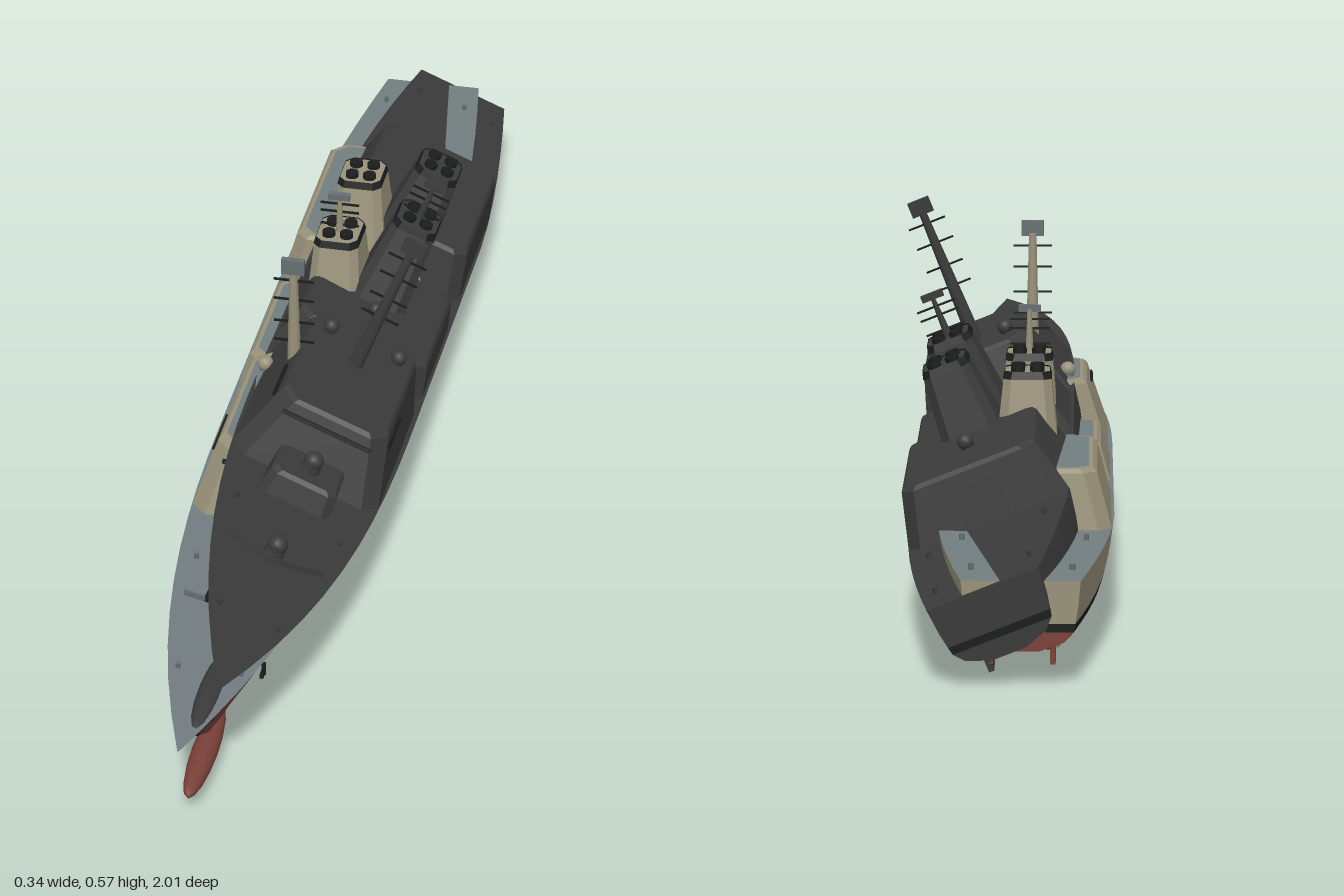
import * as THREE from 'three';
import { toCreasedNormals } from 'three/addons/utils/BufferGeometryUtils.js';

const mat = (name, color) => {
  const m = new THREE.MeshStandardMaterial({ color, side: THREE.DoubleSide });
  m.name = name;
  return m;
};

// Skin through horizontal rings (anticlockwise from above), bottom to top
function loft(rings, bottom = false, top = false) {
  const pos = [];
  const quad = (a, b, c, d) => pos.push(...a, ...b, ...c, ...a, ...c, ...d);
  const n = rings[0].length;
  for (let k = 0; k + 1 < rings.length; k++)
    for (let i = 0; i < n; i++) {
      const j = (i + 1) % n;
      quad(rings[k][i], rings[k][j], rings[k + 1][j], rings[k + 1][i]);
    }
  const cap = (r, up) => {
    for (let i = 0; i < n / 2 - 1; i++) {
      const q = [r[i], r[i + 1], r[n - 2 - i], r[n - 1 - i]];
      quad(...(up ? q : q.reverse()));
    }
  };
  if (bottom) cap(rings[0], false);
  if (top) cap(rings[rings.length - 1], true);
  const g = new THREE.BufferGeometry();
  g.setAttribute('position', new THREE.Float32BufferAttribute(pos, 3));
  return toCreasedNormals(g, 0.4);
}

// Hull levels: height, half width, stem position, bow rise, bow fullness, stern rise
const LEVELS = [
  [0, 0.042, 0.78, 0.025, 1.6, 0.04],
  [0.025, 0.098, 0.83, 0.03, 1.7, 0.028],
  [0.06, 0.119, 0.885, 0.033, 1.8, 0.008],
  [0.074, 0.123, 0.9, 0.031, 1.9, 0.006],
  [0.1, 0.129, 0.935, 0.025, 2.2, 0.002],
  [0.142, 0.135, 1.0, 0.013, 2.6, 0],
];

function hullPoint([y, w, end, rise, power, sternRise], z) {
  const bow = Math.max(0, (z - 0.1) / (end - 0.1));
  const stern = Math.max(0, (-0.5 - z) / 0.5);
  const half = w * (1 - bow ** power) * (1 - 0.37 * stern ** 1.6);
  return [Math.max(half, 0.001), y + rise * bow ** 2 + sternRise * stern ** 2, z];
}

function hullRing(level) {
  const port = [];
  for (let i = 0; i <= 24; i++) port.push(hullPoint(level, -1 + (level[2] + 1) * i / 24));
  return [...port.map(([x, y, z]) => [-x, y, z]), ...port.reverse()];
}

// Rectangle with cut corners
function houseRing(y, w, z0, z1, c) {
  return [[-w + c, y, z0], [-w, y, z0 + c], [-w, y, z1 - c], [-w + c, y, z1],
    [w - c, y, z1], [w, y, z1 - c], [w, y, z0 + c], [w - c, y, z0]];
}

function buildShip(name, p) {
  const ship = new THREE.Group();
  ship.name = name;
  const add = (part, geo, material, x = 0, y = 0, z = 0) => {
    const m = new THREE.Mesh(geo, material);
    m.name = part;
    m.position.set(x, y, z);
    ship.add(m);
    return m;
  };
  const box = (part, w, h, d, material, x, y, z) =>
    add(part, new THREE.BoxGeometry(w, h, d), material, x, y, z);

  // Hull in painted bands
  const rings = LEVELS.map(hullRing);
  add('lowerHull', loft(rings.slice(0, 3), true), p.bottom);
  add('waterlineStripe', loft(rings.slice(2, 4)), p.stripe);
  add('upperHull', loft(rings.slice(3, 6)), p.side);
  add('deck', loft([rings[5]], false, true), p.deck);
  const bulb = add('sonarDome', new THREE.SphereGeometry(1, 16, 12), p.bottom, 0, 0.028, 0.84);
  bulb.scale.set(0.02, 0.018, 0.112);

  // Deckhouses with sloping sides, rounded rims and inset roofs
  const house = (part, y0, y1, w0, w1, b, t, c, roof = p.deck) => {
    const e = 0.006;
    const rim = houseRing(y1, w1 - e, t[0] + e, t[1] - e, c);
    add(part, loft([houseRing(y0, w0, b[0], b[1], c), houseRing(y1 - e, w1, t[0], t[1], c), rim],
      false, true), p.side);
    add(part + 'Roof', loft([houseRing(y1 + 0.001, w1 - 2 * e, t[0] + 2 * e, t[1] - 2 * e, c)],
      false, true), roof);
  };
  house('bridgeHouse', 0.14, 0.255, 0.128, 0.092, [0.06, 0.405], [0.09, 0.37], 0.025);
  house('middleHouse', 0.14, 0.202, 0.131, 0.115, [-0.225, 0.05], [-0.215, 0.04], 0.02);
  house('hangar', 0.14, 0.232, 0.131, 0.108, [-0.625, -0.285], [-0.612, -0.295], 0.02);
  house('forwardPlatform', 0.14, 0.185, 0.06, 0.056, [0.36, 0.475], [0.36, 0.465], 0.012);

  // Bridge windows
  const front = box('bridgeWindows', 0.155, 0.007, 0.004, p.black, 0, 0.232, 0.378);
  front.rotation.x = -0.3;
  for (const s of [-1, 1]) {
    const side = box('bridgeSideWindows', 0.004, 0.007, 0.09, p.black, s * 0.0995, 0.232, 0.3);
    side.rotation.z = s * 0.3;
  }
  // Hangar door
  const door = box('hangarDoor', 0.075, 0.06, 0.005, p.metal, 0, 0.175, -0.62);
  door.rotation.x = 0.14;

  // Funnels with black caps and four exhausts
  for (const [y0, b, t] of [[0.2, [-0.215, -0.075], [-0.2, -0.112]],
    [0.23, [-0.405, -0.278], [-0.388, -0.305]]]) {
    add('funnel', loft([houseRing(y0, 0.048, b[0], b[1], 0.015),
      houseRing(0.335, 0.037, t[0], t[1], 0.012)], false, true), p.side);
    add('funnelCap', loft([houseRing(0.333, 0.038, t[0] - 0.001, t[1] + 0.001, 0.012),
      houseRing(0.345, 0.035, t[0] + 0.003, t[1] - 0.003, 0.012)]), p.black);
    add('funnelTop', loft([houseRing(0.343, 0.035, t[0] + 0.003, t[1] - 0.003, 0.012)],
      false, true), p.side);
    for (const x of [-0.015, 0.015])
      for (const dz of [-0.018, 0.018])
        add('exhaust', new THREE.CylinderGeometry(0.011, 0.011, 0.012, 12), p.black,
          x, 0.345, (t[0] + t[1]) / 2 + dz);
  }

  // Masts with yards and radar panels
  const mast = (part, z, y0, y1, r, yards, panels) => {
    add(part, new THREE.CylinderGeometry(r * 0.5, r, y1 - y0, 10), p.side, 0, (y0 + y1) / 2, z);
    for (const y of yards) box(part + 'Yard', 0.065, 0.003, 0.003, p.black, 0, y, z);
    for (const [y, w, h] of panels) box(part + 'Radar', w, h, 0.01, p.metal, 0, y, z + 0.004);
  };
  mast('mainMast', 0.2, 0.25, 0.49, 0.013, [0.355, 0.391, 0.433, 0.469], [[0.498, 0.037, 0.026]]);
  mast('funnelMast', -0.155, 0.335, 0.41, 0.007, [0.355, 0.38, 0.395], [[0.412, 0.036, 0.011]]);

  // Domes on the roofs
  for (const [x, y, z, r] of [[-0.06, 0.258, 0.145, 0.013], [0.06, 0.258, 0.145, 0.013],
    [0, 0.235, -0.5, 0.013], [0, 0.205, -0.045, 0.013]]) {
    add('domePedestal', new THREE.CylinderGeometry(r * 0.7, r * 0.8, 0.012, 12), p.metal, x, y, z);
    add('dome', new THREE.SphereGeometry(r, 14, 10), p.side, x, y + 0.009, z);
  }

  // Guns on the platform and foredeck
  for (const [y, z] of [[0.185, 0.425], [0.145, 0.615]]) {
    add('gunBase', new THREE.CylinderGeometry(0.015, 0.017, 0.016, 14), p.metal, 0, y + 0.008, z);
    add('gunTurret', new THREE.SphereGeometry(0.016, 14, 10), p.side, 0, y + 0.018, z);
    const barrel = add('gunBarrel', new THREE.CylinderGeometry(0.003, 0.003, 0.05, 8), p.metal,
      0, y + 0.023, z + 0.03);
    barrel.rotation.x = Math.PI / 2 - 0.15;
  }

  for (const s of [-1, 1]) {
    // Breakwater
    const wall = box('breakwater', 0.085, 0.012, 0.004, p.metal, s * 0.042, 0.15, 0.63);
    wall.rotation.y = s * 0.3;
    // Anchors
    const [ax, ay, az] = hullPoint(LEVELS[4], 0.72);
    box('anchorShank', 0.006, 0.022, 0.005, p.black, s * (ax + 0.003), ay - 0.01, az);
    box('anchorFluke', 0.006, 0.006, 0.018, p.black, s * (ax + 0.001), ay - 0.02, az);
    // Rudders and propellers
    box('rudder', 0.008, 0.05, 0.07, p.bottom, s * 0.045, 0.026, -0.875);
    add('propellerHub', new THREE.SphereGeometry(0.007, 10, 8), p.metal, s * 0.045, 0.014, -0.81);
    const shaft = add('propellerShaft', new THREE.CylinderGeometry(0.004, 0.004, 0.16, 8),
      p.bottom, s * 0.045, 0.014, -0.73);
    shaft.rotation.x = Math.PI / 2;
    for (let i = 0; i < 4; i++) {
      const blade = box('propellerBlade', 0.007, 0.024, 0.003, p.metal, s * 0.045, 0.014, -0.81);
      blade.rotation.z = i * Math.PI / 4;
    }
    // Bollards along the deck edge
    for (const z of [0.8, 0.52, -0.7, -0.92]) {
      const [bx, by] = hullPoint(LEVELS[5], z);
      add('bollard', new THREE.CylinderGeometry(0.004, 0.004, 0.01, 8), p.metal,
        s * bx * 0.75, by + 0.004, z);
    }
  }
  return ship;
}

export function createModel() {
  const black = mat('black', 0x1b1d1c);
  const charcoal = mat('charcoal', 0x3b3b3b);
  const grey = mat('deck grey', 0x727d81);
  const model = new THREE.Group();
  model.name = 'warships';

  // Painted ship on an even keel
  const painted = buildShip('paintedShip', {
    bottom: mat('hull red', 0x7a4038), stripe: black, side: mat('stone', 0x989179),
    deck: grey, metal: mat('fittings grey', 0x666f72), black,
  });
  painted.position.set(-0.037, 0, 0);

  // Burnt ship, heeled over with its bow raised
  const burnt = buildShip('burntShip', {
    bottom: charcoal, stripe: black, side: charcoal, deck: charcoal, metal: charcoal, black,
  });
  burnt.position.set(-0.036, 0.063, -0.002);
  burnt.rotation.set(-0.063, 0, -0.384);

  model.add(painted, burnt);
  return model;
}
